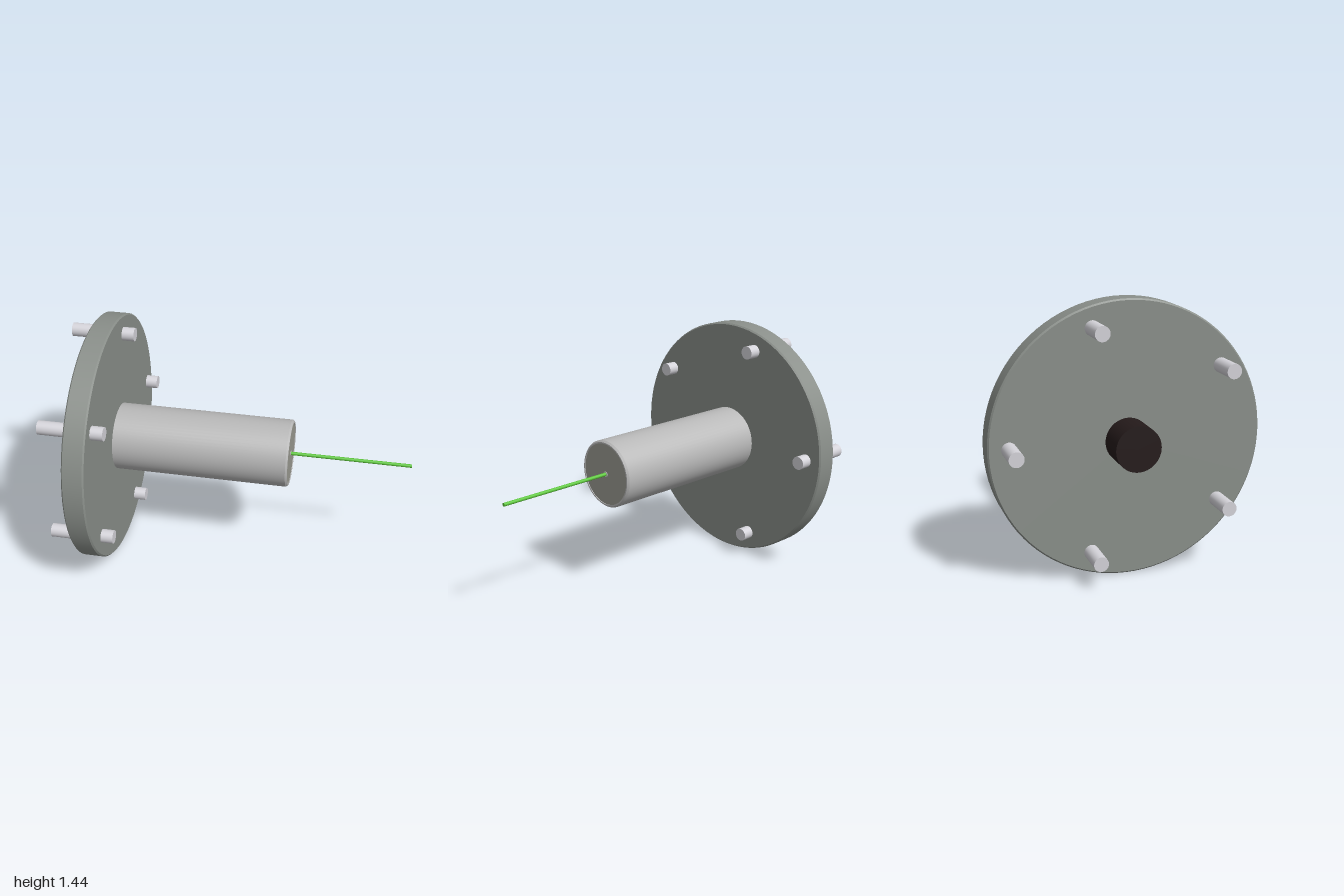
import * as THREE from 'three';

const AXIS_Y = 0.72;

// Solid of revolution about the x axis; profile is a list of [x, radius], with hard edges.
function turned(name, profile, color, segments = 64) {
  const group = new THREE.Group();
  group.name = name;
  const material = new THREE.MeshStandardMaterial({ color });
  for (let i = 0; i < profile.length - 1; i++) {
    const points = [profile[i], profile[i + 1]].map(([x, r]) => new THREE.Vector2(r, x));
    const geometry = new THREE.LatheGeometry(points, segments);
    geometry.rotateZ(-Math.PI / 2);
    const mesh = new THREE.Mesh(geometry, material);
    mesh.name = `${name}Surface`;
    group.add(mesh);
  }
  return group;
}

// Plain closed cylinder from x0 to x1
const rod = (name, x0, x1, r, color, segments) =>
  turned(name, [[x0, 0], [x0, r], [x1, r], [x1, 0]], color, segments);

export function createModel() {
  const model = new THREE.Group();
  model.name = 'flangedProbe';
  const assembly = new THREE.Group();
  assembly.name = 'assembly';
  assembly.position.y = AXIS_Y;
  model.add(assembly);

  // Round mounting flange with small edge chamfers
  assembly.add(turned('flange', [
    [-0.83, 0], [-0.83, 0.712], [-0.822, 0.72],
    [-0.713, 0.72], [-0.705, 0.712], [-0.705, 0],
  ], 0x8a8f8a, 96));

  // Barrel with a chamfered rim and slightly recessed end
  assembly.add(turned('barrel', [
    [-0.71, 0.195], [0.299, 0.195], [0.31, 0.186], [0.31, 0.178], [0.3, 0.178],
  ], 0xb8b8b8));
  assembly.add(rod('barrelEndPlate', 0.28, 0.306, 0.178, 0x9a9a92));

  // Probe wire and its insulating collar
  assembly.add(rod('wireCollar', 0.29, 0.309, 0.016, 0xe4e4e4, 24));
  assembly.add(rod('probeWire', 0.29, 1, 0.01, 0x5cc63a, 20));

  // Dark connector on the back
  assembly.add(rod('connector', -1, -0.82, 0.118, 0x241a1a));

  // Five bolts through the flange
  for (let i = 0; i < 5; i++) {
    const a = (i / 5) * Math.PI * 2;
    const bolt = rod('bolt', -1, -0.635, 0.039, 0xd4d3d9, 32);
    bolt.position.set(0, 0.612 * Math.sin(a), -0.612 * Math.cos(a));
    assembly.add(bolt);
  }
  return model;
}
